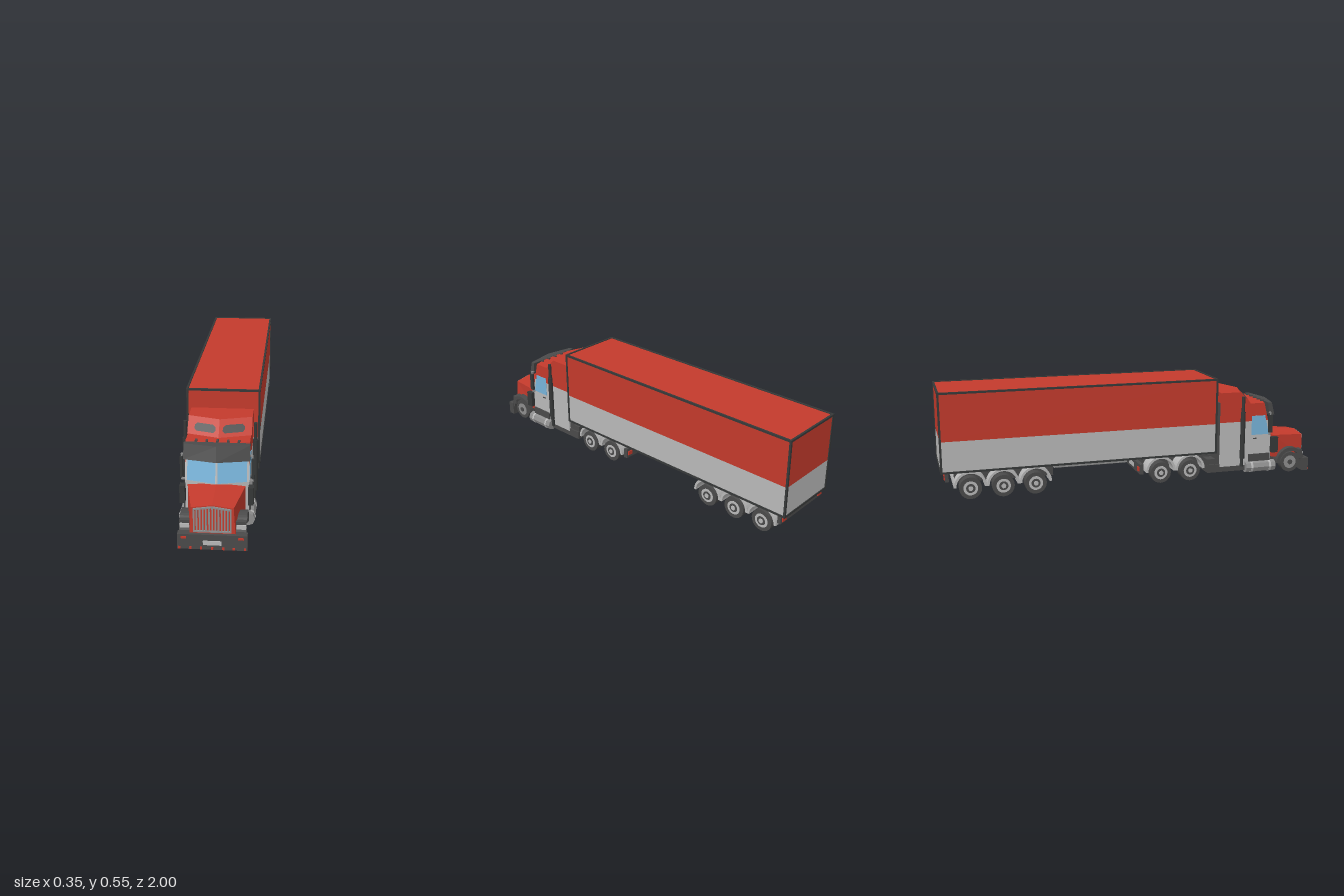
import * as THREE from 'three';

export function createModel() {
  const root = new THREE.Group();
  const mat = (name, color) => Object.assign(new THREE.MeshStandardMaterial({ color }), { name });
  const red = mat('red paint', 0xc43a2c), light = mat('light grey', 0xb9b9b9), mid = mat('mid grey', 0x8e8e8e);
  const dark = mat('dark grey', 0x4a4a4a), black = mat('near black', 0x363838), glass = mat('glass blue', 0x77b3d9);

  const add = (name, geo, m, x = 0, y = 0, z = 0) => {
    const mesh = new THREE.Mesh(geo, m);
    mesh.name = name;
    mesh.position.set(x, y, z);
    root.add(mesh);
    return mesh;
  };
  // box from its limits on each axis
  const box = (name, m, x0, x1, y0, y1, z0, z1) =>
    add(name, new THREE.BoxGeometry(x1 - x0, y1 - y0, z1 - z0), m, (x0 + x1) / 2, (y0 + y1) / 2, (z0 + z1) / 2);
  // the same box on both sides
  const pair = (name, m, x0, x1, ...r) => {
    box(name + 'Left', m, x0, x1, ...r);
    box(name + 'Right', m, -x1, -x0, ...r);
  };
  // cylinder lying along x
  const disc = (name, m, r, w, x, y, z, n = 20) =>
    add(name, new THREE.CylinderGeometry(r, r, w, n).rotateZ(Math.PI / 2), m, x, y, z);
  // flat-faced solid through matching convex rings
  const loft = (name, m, rings) => {
    const p = [];
    const tri = (a, b, c) => p.push(...a, ...b, ...c);
    const n = rings[0].length, first = rings[0], last = rings[rings.length - 1];
    for (let i = 0; i < rings.length - 1; i++) for (let j = 0; j < n; j++) {
      const k = (j + 1) % n, a = rings[i][j], b = rings[i][k], c = rings[i + 1][k], d = rings[i + 1][j];
      tri(a, b, c);
      tri(a, c, d);
    }
    for (let j = 1; j < n - 1; j++) {
      tri(last[0], last[j], last[j + 1]);
      tri(first[0], first[j + 1], first[j]);
    }
    const g = new THREE.BufferGeometry();
    g.setAttribute('position', new THREE.Float32BufferAttribute(p, 3));
    g.computeVertexNormals();
    return add(name, g, m);
  };
  // horizontal outline with a pointed front
  const plan = (w, y, back, side, centre) => [[w, y, side], [w, y, back], [-w, y, back], [-w, y, side], [0, y, centre]];
  const shape = pts => new THREE.Shape(pts.map(p => new THREE.Vector2(...p)));
  // thin face laid on a sloping front surface
  const decal = (name, m, pts, zAt) => {
    const g = new THREE.ShapeGeometry(shape(pts)), pos = g.attributes.position;
    for (let i = 0; i < pos.count; i++) pos.setZ(i, zAt(pos.getX(i), pos.getY(i)));
    g.computeVertexNormals();
    return add(name, g, m);
  };

  // Trailer body and its edge frame
  box('trailerLower', light, -0.173, 0.173, 0.15, 0.306, -0.996, 0.434);
  box('trailerUpper', red, -0.173, 0.173, 0.306, 0.544, -0.996, 0.434);
  box('trailerFloor', dark, -0.17, 0.17, 0.146, 0.151, -0.99, 0.43);
  for (const y of [0.146, 0.538]) {
    pair('trailerLongEdge', black, 0.167, 0.177, y, y + 0.01, -1, 0.438);
    for (const z of [-1, 0.428]) box('trailerCrossEdge', black, -0.177, 0.177, y, y + 0.01, z, z + 0.01);
  }
  for (const z of [-1, 0.428]) pair('trailerPost', black, 0.167, 0.177, 0.146, 0.548, z, z + 0.01);

  // Trailer underside
  box('trailerLocker', mid, -0.11, 0.11, 0.118, 0.147, -0.43, -0.04);
  box('lockerBase', dark, -0.1, 0.1, 0.114, 0.119, -0.42, -0.05);
  pair('trailerRail', dark, 0.06, 0.09, 0.075, 0.147, -0.93, -0.43);
  box('trailerBumper', dark, -0.177, 0.177, 0.106, 0.147, -0.98, -0.962);
  pair('trailerLamp', red, 0.135, 0.165, 0.114, 0.138, -0.985, -0.979);

  // Tractor chassis
  pair('chassisRail', dark, 0.045, 0.075, 0.06, 0.115, 0.04, 0.95);
  box('couplingPlate', dark, -0.08, 0.08, 0.115, 0.147, 0.13, 0.31);
  box('rearDeck', dark, -0.143, 0.143, 0.032, 0.075, 0.4, 0.62);
  box('deckTop', dark, -0.135, 0.135, 0.075, 0.105, 0.4, 0.47);
  box('tractorTailBar', dark, -0.145, 0.145, 0.055, 0.108, 0.02, 0.04);
  pair('tractorLamp', red, 0.105, 0.135, 0.07, 0.092, 0.015, 0.021);
  box('tailPlate', light, -0.04, 0.04, 0.07, 0.092, 0.016, 0.021);

  // Rear axles, each with a full-width curved mudguard
  const arch = (ro, ri, w) => {
    const s = new THREE.Shape();
    s.absarc(0, 0, ro, 0, Math.PI, false);
    s.absarc(0, 0, ri, Math.PI, 0, true);
    return new THREE.ExtrudeGeometry(s, { depth: w, bevelEnabled: false, curveSegments: 10 })
      .translate(0, 0, -w / 2).rotateY(Math.PI / 2);
  };
  for (const z of [0.3, 0.136, -0.53, -0.693, -0.856]) {
    disc('axle', mid, 0.014, 0.24, 0, 0.056, z, 10);
    add('mudguard', arch(0.082, 0.07, 0.296), light, 0, 0.062, z);
    for (const s of [1, -1]) {
      disc('tyre', dark, 0.056, 0.05, s * 0.12, 0.056, z);
      disc('rim', light, 0.036, 0.008, s * 0.143, 0.056, z);
      disc('rimCentre', dark, 0.023, 0.008, s * 0.1445, 0.056, z);
      disc('hub', light, 0.012, 0.012, s * 0.146, 0.056, z, 10);
    }
  }

  // Front axle, wheels and wings
  disc('frontAxle', mid, 0.014, 0.22, 0, 0.056, 0.89, 10);
  for (const s of [1, -1]) {
    disc('frontTyre', dark, 0.056, 0.038, s * 0.119, 0.056, 0.89);
    disc('frontRim', mid, 0.036, 0.008, s * 0.136, 0.056, 0.89);
    disc('frontHub', dark, 0.014, 0.012, s * 0.138, 0.056, 0.89, 10);
    add('frontWing', arch(0.084, 0.064, 0.05), dark, s * 0.122, 0.056, 0.89);
  }
  pair('headlampHousing', dark, 0.1, 0.146, 0.075, 0.125, 0.935, 0.96);
  pair('headlamp', light, 0.103, 0.143, 0.091, 0.111, 0.958, 0.966);

  // Front bumper
  box('bumper', dark, -0.152, 0.152, 0.005, 0.076, 0.96, 0.996);
  box('numberPlate', light, -0.04, 0.04, 0.028, 0.048, 0.994, 0.9995);
  pair('bumperLamp', red, 0.113, 0.137, 0.057, 0.067, 0.994, 0.9995);
  for (const x of [-0.142, -0.094, -0.048, 0, 0.048, 0.094, 0.142])
    box('bumperMarker', red, x - 0.005, x + 0.005, 0.007, 0.018, 0.994, 1);

  // Bonnet and grille
  const bonnet = (wb, yb, wt, yt, yc, z) => [[-wb, yb, z], [wb, yb, z], [wt, yt, z], [0, yc, z], [-wt, yt, z]];
  loft('bonnet', red, [bonnet(0.13, 0.09, 0.13, 0.213, 0.223, 0.785), bonnet(0.1, 0.075, 0.092, 0.198, 0.21, 0.98)]);
  const frame = shape([[-0.083, 0.083], [0.083, 0.083], [0.083, 0.194], [0, 0.206], [-0.083, 0.194]]);
  frame.holes.push(new THREE.Path([[-0.076, 0.09], [-0.076, 0.188], [0, 0.199], [0.076, 0.188], [0.076, 0.09]]
    .map(p => new THREE.Vector2(...p))));
  add('grilleFrame', new THREE.ExtrudeGeometry(frame, { depth: 0.01, bevelEnabled: false }), mid, 0, 0, 0.978);
  for (let i = -5; i <= 5; i++) {
    const x = i * 0.0135;
    box('grilleBar', mid, x - 0.0035, x + 0.0035, 0.09, 0.198 - Math.abs(x) * 0.14, 0.978, 0.985);
  }

  // Cab body, roof and raised sleeper
  const slope = y => (y - 0.225) * 0.25;
  const cabRing = y => plan(0.145, y, 0.47, 0.765 - Math.max(0, slope(y)), 0.8 - Math.max(0, slope(y)));
  loft('cabBody', light, [cabRing(0.06), cabRing(0.225), cabRing(0.303)]);
  loft('cabRoof', red, [cabRing(0.303), cabRing(0.4)]);
  loft('sleeperTop', red, [plan(0.148, 0.4, 0.47, 0.64, 0.685), plan(0.148, 0.465, 0.47, 0.575, 0.62)]);
  loft('sunVisor', dark, [plan(0.149, 0.332, 0.75, 0.78, 0.812), plan(0.149, 0.401, 0.74, 0.762, 0.79)]);
  box('cabBackPanel', dark, -0.135, 0.135, 0.06, 0.41, 0.446, 0.471);
  for (let i = -2; i <= 2; i++)
    box('roofMarker', dark, i * 0.048 - 0.005, i * 0.048 + 0.005, 0.399, 0.408, 0.72, 0.74);

  // Windscreen halves, pillars and sleeper vents
  const screenZ = (x, y) => 0.802 - 0.2414 * Math.abs(x) - slope(y);
  const ventZ = (x, y) => 0.688 - (y - 0.4) - 0.304 * Math.abs(x);
  for (const s of [1, -1]) {
    const side = pts => pts.map(([x, y]) => [s * x, y]);
    decal('windscreen', glass, side([[0.005, 0.226], [0.136, 0.226], [0.134, 0.332], [0.005, 0.332]]), screenZ);
    decal('centrePillar', light, side([[0, 0.226], [0.005, 0.226], [0.005, 0.332], [0, 0.332]]), screenZ);
    decal('sidePillar', light, side([[0.136, 0.226], [0.145, 0.226], [0.143, 0.332], [0.134, 0.332]]), screenZ);
    decal('sleeperVent', dark, side([[0.016, 0.423], [0.026, 0.415], [0.106, 0.415], [0.116, 0.423],
      [0.114, 0.436], [0.104, 0.444], [0.03, 0.444], [0.018, 0.436]]), ventZ);

    // Door window
    const pane = shape([[0.65, 0.226], [0.752, 0.226], [0.727, 0.331], [0.65, 0.331]]);
    add('sideWindow', new THREE.ExtrudeGeometry(pane, { depth: 0.004, bevelEnabled: false }).rotateY(-Math.PI / 2),
      glass, s > 0 ? 0.147 : -0.143);

    // Exhaust stack
    add('stackLower', new THREE.CylinderGeometry(0.013, 0.013, 0.255, 10), black, s * 0.164, 0.2325, 0.59);
    add('stackUpper', new THREE.CylinderGeometry(0.009, 0.009, 0.085, 10), black, s * 0.163, 0.4, 0.59);
    add('stackBase', new THREE.CylinderGeometry(0.009, 0.009, 0.05, 10), black, s * 0.16, 0.085, 0.59);

    // Fuel tank with bands
    const tank = (name, m, r, len, z) => add(name,
      new THREE.CylinderGeometry(r, r, len, 8).rotateX(Math.PI / 2).toNonIndexed(), m, s * 0.143, 0.05, z).geometry.computeVertexNormals();
    tank('fuelTank', mid, 0.031, 0.172, 0.702);
    for (const z of [0.65, 0.755]) tank('tankBand', light, 0.033, 0.012, z);
  }
  pair('doorHandle', dark, 0.144, 0.149, 0.203, 0.209, 0.66, 0.68);
  pair('doorStep', dark, 0.115, 0.152, 0.08, 0.12, 0.635, 0.76);

  // Mirrors, their brackets and the air cleaners
  pair('mirror', black, 0.155, 0.167, 0.238, 0.335, 0.742, 0.764);
  for (const y of [0.222, 0.343]) pair('mirrorBracket', mid, 0.14, 0.163, y, y + 0.007, 0.748, 0.756);
  pair('mirrorPole', mid, 0.156, 0.162, 0.222, 0.35, 0.749, 0.755);
  pair('airCleaner', black, 0.142, 0.167, 0.125, 0.21, 0.762, 0.8);

  return root;
}
